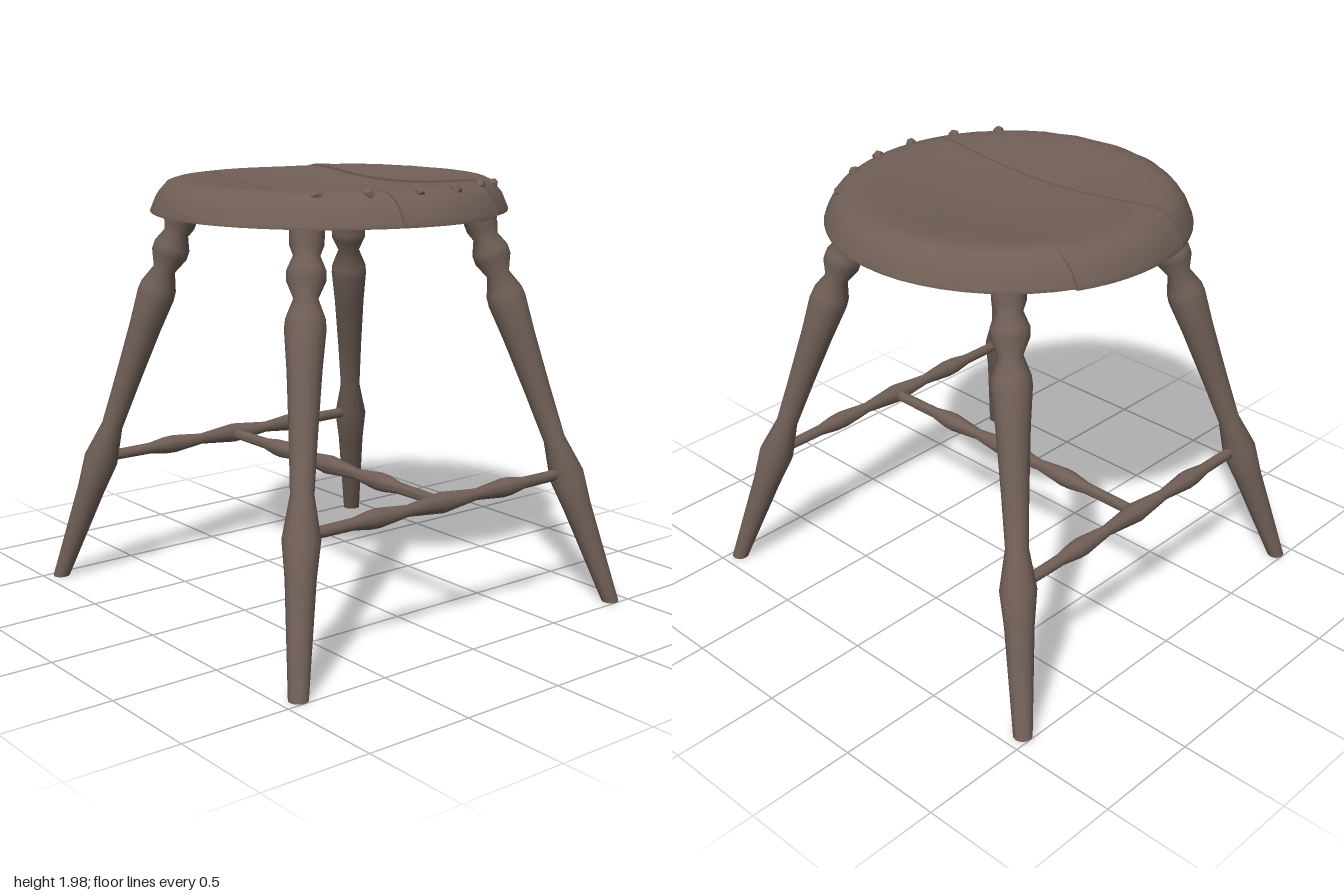
import * as THREE from 'three';
import { toCreasedNormals } from 'three/addons/utils/BufferGeometryUtils.js';

const R = 0.81; // seat radius
const V = (x, y) => new THREE.Vector2(x, y);

// Piecewise linear lookup through [position, value] pairs
function lookup(table, p) {
  for (let i = 1; i < table.length; i++) {
    const [p0, v0] = table[i - 1], [p1, v1] = table[i];
    if (p <= p1) return v0 + (v1 - v0) * Math.max(0, (p - p0) / (p1 - p0));
  }
  return table[table.length - 1][1];
}

// Seat heights by distance from the centre: dished top, gently bellied underside
const TOP = [[0, 1.905], [0.25, 1.912], [0.45, 1.935], [0.6, 1.957], [0.68, 1.962],
  [0.73, 1.95], [0.78, 1.895], [R, 1.825]];
const BOTTOM = [[0, 1.785], [0.55, 1.795], [0.7, 1.805], [R, 1.817]];
// The seams between planks run slightly askew
const SKEW = [[-R, 0], [-0.235, 0.02], [0.36, -0.006], [R, 0]];

// One seat plank, lofted across x from chord sections of the round seat
function plankGeometry(x0, x1, steps) {
  const N = 24, M = 2 * N + 2, pos = [], idx = [];
  const a0 = Math.asin(x0 / R), a1 = Math.asin(x1 / R);
  for (let i = 0; i <= steps; i++) {
    const x = R * Math.sin(a0 + (a1 - a0) * i / steps);
    const chord = Math.sqrt(R * R - x * x);
    for (let j = 0; j < M; j++) {
      const top = j <= N, k = top ? j : M - 1 - j;
      const z = chord * Math.sin((k / N - 0.5) * Math.PI);
      const y = lookup(top ? TOP : BOTTOM, Math.hypot(x, z));
      pos.push(x + lookup(SKEW, x) * z, y, z);
    }
  }
  for (let i = 0; i < steps; i++) {
    for (let j = 0; j < M; j++) {
      const a = i * M + j, b = i * M + (j + 1) % M;
      idx.push(a, b, b + M, a, b + M, a + M);
    }
  }
  // Sawn end faces along the seams
  const e = steps * M;
  for (let j = 0; j < N; j++) {
    const p = j, q = j + 1, r = M - 2 - j, s = M - 1 - j;
    idx.push(e + p, e + q, e + r, e + p, e + r, e + s);
    idx.push(p, r, q, p, s, r);
  }
  const g = new THREE.BufferGeometry();
  g.setAttribute('position', new THREE.Float32BufferAttribute(pos, 3));
  g.setIndex(idx);
  return toCreasedNormals(g, 0.75);
}

// Turned leg: [height, radius] from foot to top, leaning outwards to a corner
const LEG = [[-0.01, 0.042], [0.45, 0.065], [0.6, 0.081], [0.77, 0.05], [1.0, 0.06], [1.25, 0.074],
  [1.41, 0.088], [1.45, 0.084], [1.53, 0.052], [1.6, 0.084], [1.64, 0.084], [1.7, 0.057],
  [1.74, 0.073], [1.84, 0.076]];

function legGeometry(sx, sz) {
  const foot = new THREE.Vector3(0.917 * sx, 0, 0.957 * sz);
  const axis = new THREE.Vector3(0.487 * sx, 1.8, 0.465 * sz).sub(foot);
  const stretch = axis.length() / 1.8;
  const pts = LEG.map(([h, r]) => V(r, h * stretch));
  const g = new THREE.LatheGeometry([V(0, pts[0].y), ...pts, V(0, pts[pts.length - 1].y)], 14);
  g.applyQuaternion(new THREE.Quaternion().setFromUnitVectors(new THREE.Vector3(0, 1, 0), axis.normalize()));
  g.translate(foot.x, 0, foot.z);
  // Trim the foot flat on the floor
  const p = g.attributes.position;
  for (let i = 0; i < p.count; i++) if (p.getY(i) < 0.04) p.setY(i, 0);
  return toCreasedNormals(g, 0.9);
}

// Turned stretcher with a central swelling and one at either side
function stretcherGeometry(half) {
  const side = [[0.2, 0.026], [0.36, 0.043], [0.41, 0.041], [0.5, 0.027], [half, 0.025]];
  const pts = [...side.map(([h, r]) => V(r, -h)).reverse(), V(0.047, 0), ...side.map(([h, r]) => V(r, h))];
  return toCreasedNormals(new THREE.LatheGeometry(pts, 10), 0.9);
}

export function createModel() {
  const group = new THREE.Group();
  const wood = new THREE.MeshStandardMaterial({ color: 0x705f57 });
  wood.name = 'dark wood';
  const add = (name, geometry) => {
    const mesh = new THREE.Mesh(geometry, wood);
    mesh.name = name;
    group.add(mesh);
    return mesh;
  };

  // Seat of three planks with narrow gaps
  const edge = R * Math.sin(1.5);
  add('seatPlankRight', plankGeometry(-edge, -0.24, 10));
  add('seatPlankMiddle', plankGeometry(-0.23, 0.355, 8));
  add('seatPlankLeft', plankGeometry(0.365, edge, 9)).position.y = 0.008;

  // Small pegs along the front rim
  const pegs = [[-0.48, 0.52], [-0.3, 0.64], [-0.08, 0.7], [0.13, 0.7], [0.34, 0.625], [0.52, 0.52]];
  pegs.forEach(([x, z], i) => {
    const peg = add('rimPeg', new THREE.DodecahedronGeometry(0.028, 0));
    peg.position.set(x, lookup(TOP, Math.hypot(x, z)) - 0.006, z);
    peg.rotation.set(0.4, i * 1.3, 0);
  });

  // Four splayed legs
  for (const sx of [-1, 1]) for (const sz of [-1, 1]) {
    add((sz > 0 ? 'front' : 'back') + (sx > 0 ? 'Left' : 'Right') + 'Leg', legGeometry(sx, sz));
  }

  // Front and back stretchers joined by a middle one
  for (const sz of [-1, 1]) {
    const s = add(sz > 0 ? 'frontStretcher' : 'backStretcher', stretcherGeometry(0.75));
    s.rotation.z = Math.PI / 2;
    s.position.set(0, 0.61, 0.787 * sz);
  }
  const middle = add('middleStretcher', stretcherGeometry(0.78));
  middle.rotation.x = Math.PI / 2;
  middle.position.y = 0.61;

  return group;
}
